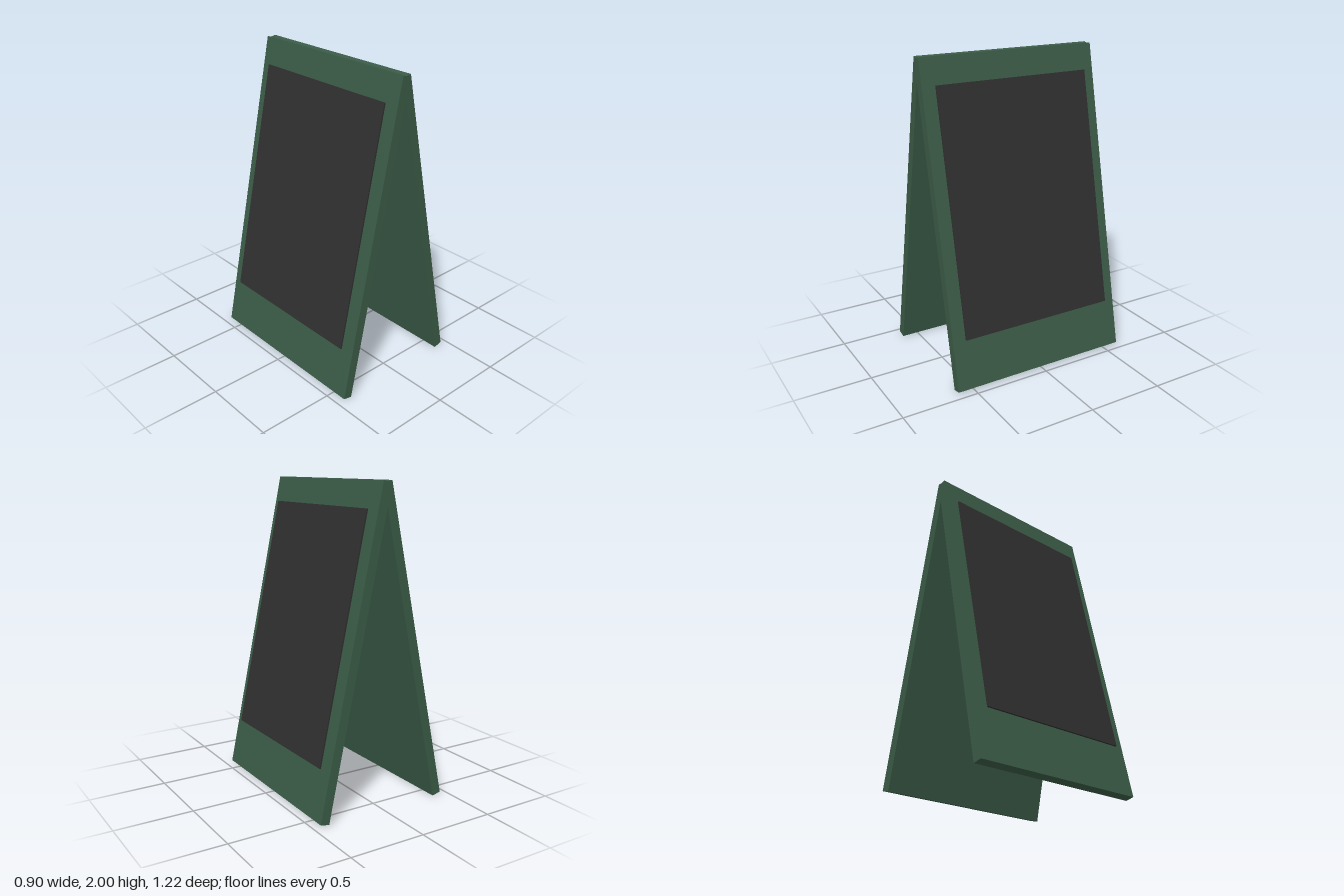
import * as THREE from 'three';

export function createModel() {
  const model = new THREE.Group();
  model.name = 'sandwichBoard';

  const green = new THREE.MeshStandardMaterial({ color: 0x3a5a46 });
  green.name = 'paintedGreen';
  const slate = new THREE.MeshStandardMaterial({ color: 0x2f2f2f });
  slate.name = 'chalkboardBlack';

  const tilt = THREE.MathUtils.degToRad(12);
  const length = 2.032;
  const thickness = 0.06;

  // One leaning leaf: frame board plus the chalk panel standing just off its outer face
  function makeLeaf(name) {
    const leaf = new THREE.Group();
    leaf.name = name;

    const board = new THREE.Mesh(new THREE.BoxGeometry(thickness, length, 1.215), green);
    board.name = 'frameBoard';

    const panel = new THREE.Mesh(new THREE.BoxGeometry(0.01, 1.544, 1.055), slate);
    panel.name = 'chalkPanel';
    panel.position.set(0.051, 0.075, 0);

    leaf.add(board, panel);
    leaf.position.set((length / 2) * Math.sin(tilt), 1, 0);
    leaf.rotation.z = tilt;
    return leaf;
  }

  // The two leaves meet at the top ridge; the second is turned half round
  const rightSide = new THREE.Group();
  rightSide.name = 'rightSide';
  rightSide.rotation.y = Math.PI;
  rightSide.add(makeLeaf('rightLeaf'));
  model.add(makeLeaf('leftLeaf'), rightSide);

  return model;
}
